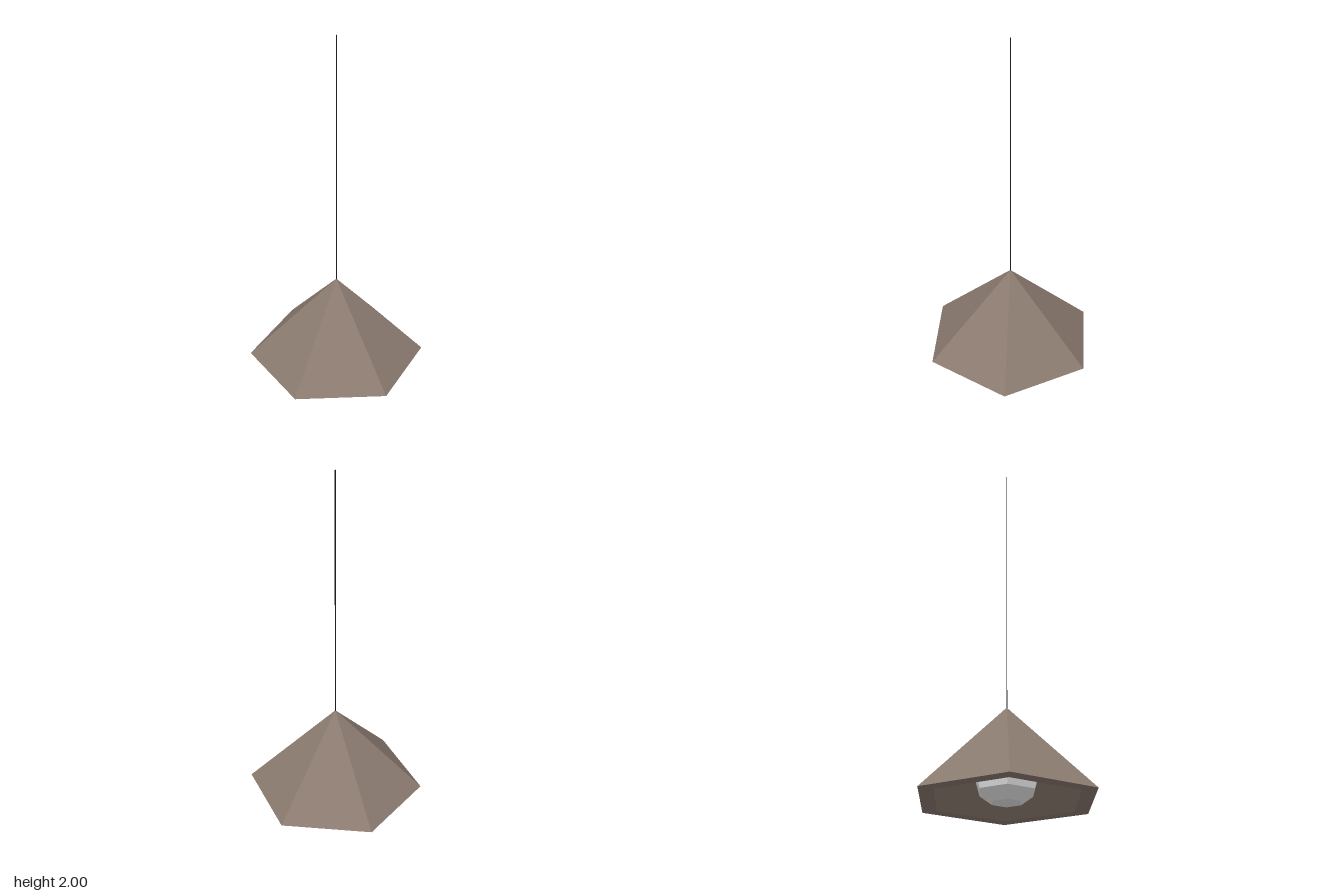
import * as THREE from 'three';

const material = (name, color) => {
  const m = new THREE.MeshStandardMaterial({ color });
  m.name = name;
  return m;
};

// Six-sided turned part with flat facets and corners at front and back
function hexLathe(name, profile, mat) {
  const points = profile.map(([r, y]) => new THREE.Vector2(r, y));
  const geometry = new THREE.LatheGeometry(points, 6).toNonIndexed();
  geometry.computeVertexNormals();
  const mesh = new THREE.Mesh(geometry, mat);
  mesh.name = name;
  return mesh;
}

export function createModel() {
  const lamp = new THREE.Group();
  lamp.name = 'pendantLamp';

  const brown = material('taupe brown', 0x8a7a6f);
  const white = material('bulb white', 0xe8e8e8);
  const black = material('cord black', 0x1c1c1c);

  // Hollow pyramid shade: inside, rim, outside
  lamp.add(hexLathe('shade', [
    [0, 0.435], [0.427, 0.012], [0.518, 0.012], [0, 0.525],
  ], brown));

  // Faceted bulb with a flat bottom just below the rim
  lamp.add(hexLathe('bulb', [
    [0, 0], [0.087, 0], [0.163, 0.056], [0.188, 0.138],
    [0.163, 0.22], [0.087, 0.276], [0, 0.276],
  ], white));

  // Lamp holder hidden inside the shade, joining bulb and apex
  lamp.add(hexLathe('bulbHolder', [
    [0, 0.27], [0.035, 0.27], [0.035, 0.39], [0, 0.39],
  ], black));

  // Thin hanging cord
  const cord = new THREE.Mesh(new THREE.CylinderGeometry(0.003, 0.003, 1.48, 6), black);
  cord.name = 'cord';
  cord.position.y = 1.26;
  lamp.add(cord);

  return lamp;
}
